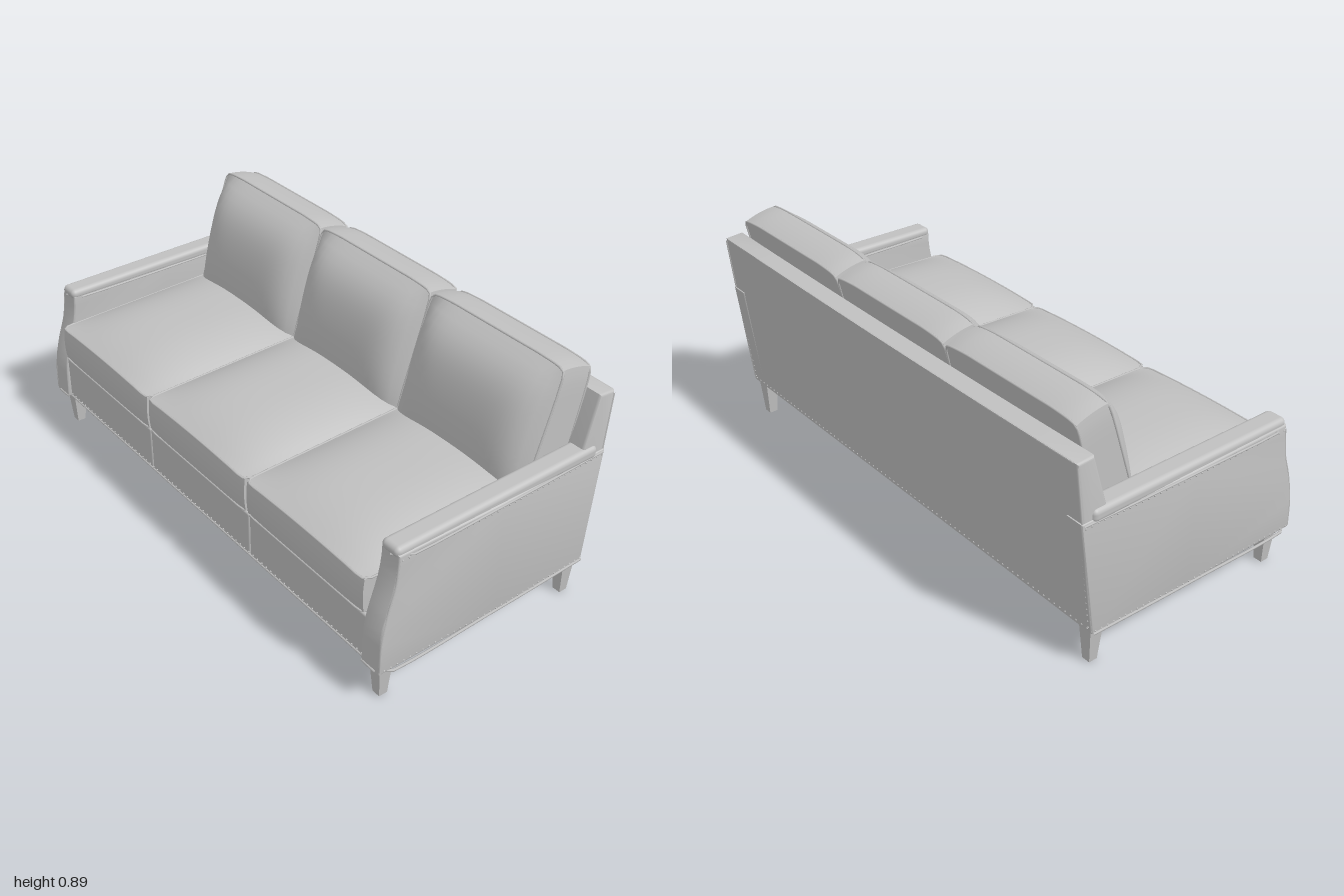
import * as THREE from 'three';
import { mergeGeometries, toCreasedNormals } from 'three/addons/utils/BufferGeometryUtils.js';
import { RoundedBoxGeometry } from 'three/addons/geometries/RoundedBoxGeometry.js';

const lerp = THREE.MathUtils.lerp;
const V = (x, y, z) => new THREE.Vector3(x, y, z);

// Outer side of the arms (drawn in towards the rear) and rear face of the frame
const outerX = (y, z) => 0.994 - 0.008 * (y - 0.14) / 0.41 - 0.012 * Math.max(0, -z / 0.45);
const rearZ = (y) => -0.4 - 0.081 * (y - 0.14) / 0.63;
const backX = (y) => outerX(y, -0.45) - 0.003;
const bow = (x, y) => 0.008 * x * x * Math.max(0, (y - 0.3) / 0.47);

export function createModel() {
  const model = new THREE.Group();
  model.name = 'sofa';
  const fabric = new THREE.MeshStandardMaterial({ color: 0xc0c0c0 });
  fabric.name = 'grey fabric';

  const add = (name, geometry, parent = model) => {
    const mesh = new THREE.Mesh(geometry, fabric);
    mesh.name = name;
    parent.add(mesh);
  };
  const welt = (name, points, closed, r = 0.004, parent = model) =>
    add(name, new THREE.TubeGeometry(
      new THREE.CatmullRomCurve3(points, closed, 'centripetal'), points.length * 3, r, 6, closed), parent);

  // Move every vertex by a rule
  const reshape = (g, rule) => {
    const p = g.attributes.position;
    for (let i = 0; i < p.count; i++) {
      const q = rule(p.getX(i), p.getY(i), p.getZ(i));
      p.setXYZ(i, q.x, q.y, q.z);
    }
    return g;
  };

  // Side outline (z, y) extruded across x, centred
  const slab = (shape, width, bevel, steps = 1) => {
    const g = new THREE.ExtrudeGeometry(shape, {
      depth: width - 2 * bevel, bevelThickness: bevel, bevelSize: bevel,
      bevelOffset: -bevel, bevelSegments: 3, curveSegments: 10, steps,
    });
    return g.translate(0, 0, bevel - width / 2).rotateY(-Math.PI / 2);
  };
  const outline = (points) => new THREE.Shape(points.map(([z, y]) => new THREE.Vector2(z, y)));

  // Soft block: a subdivided cube reshaped by a rule, with welts round two faces
  const cushion = (name, rule, axis) => {
    const group = new THREE.Group();
    group.name = name;
    model.add(group);
    const g = reshape(new THREE.BoxGeometry(2, 2, 2, 20, 16, 20), rule);
    g.computeVertexNormals();
    add('cushionBody', g, group);
    for (const side of [-1, 1]) {
      const points = [];
      for (let k = 0; k < 4; k++) {
        for (let i = 0; i < 8; i++) {
          const t = -0.97 + 1.94 * i / 7;
          const [a, b] = [[t, -1], [1, t], [-t, 1], [-1, -t]][k];
          points.push(axis === 'y' ? rule(a, side, b) : rule(a, b, side));
        }
      }
      welt('cushionWelt', points, true, 0.004, group);
    }
  };

  // Seat and back cushions, three of each
  for (const [cx, hw] of [[-0.602, 0.304], [0, 0.297], [0.602, 0.304]]) {
    cushion('seatCushion', (u, v, w) => {
      const crown = 0.052 * (1 - Math.abs(u) ** 3) * (1 - Math.abs(w) ** 3);
      const top = 0.461 - 0.011 * w + crown + 0.008 * (1 - u * u);
      return V(
        cx + hw * u * (1 - 0.02 * w ** 12),
        lerp(0.322, top, (v + 1) / 2),
        0.11 + 0.362 * w * (1 - 0.012 * u ** 8) + 0.005 * w * (1 - v * v),
      );
    }, 'y');
    cushion('backCushion', (u, v, w) => {
      const t = (v + 1) / 2, f = (w + 1) / 2;
      const bulge = 0.09 * (1 - t ** 8) * (1 - 0.6 * (1 - t) ** 3) * (1 - u ** 6);
      const y = 0.46 + t * (lerp(0.4, 0.428, f) - 0.012 * u ** 8 + 0.006 * (1 - w * w));
      const z = lerp(lerp(-0.325, -0.42, t), lerp(-0.165, -0.3, t), f);
      return V(cx + hw * u * (1 - 0.025 * t ** 12), y, z + bulge * f);
    }, 'z');
  }

  // Base: deck with a sloping underside, and three front rail panels
  add('seatDeck', toCreasedNormals(slab(outline(
    [[-0.34, 0.18], [-0.34, 0.32], [0.44, 0.32], [0.44, 0.143]]), 1.84, 0.003), 0.6));
  for (const x of [-0.607, 0, 0.607]) {
    add('frontRailPanel', new RoundedBoxGeometry(0.606, 0.172, 0.045, 3, 0.008).translate(x, 0.226, 0.442));
  }
  welt('frontWelt', [V(-0.91, 0.142, 0.464), V(0, 0.142, 0.464), V(0.91, 0.142, 0.464)], false, 0.005);

  // Raked back, narrowing towards the top and slightly bowed
  const back = slab(outline([
    [-0.315, 0.14], [-0.33, 0.5], [-0.415, 0.78], [rearZ(0.77), 0.775],
    [rearZ(0.45), 0.45], [rearZ(0.14), 0.14],
  ]), 2, 0.01, 8);
  reshape(back, (x, y, z) => V(x * backX(y), y, z + bow(x, y)));
  add('backFrame', toCreasedNormals(back, 0.6));
  welt('backTopWelt', [-0.95, -0.5, 0, 0.5, 0.95].map((x) => V(x, 0.772, -0.477 + bow(x, 0.77))), false);

  // Arms with a curved front, padded cap and welts
  const armShape = new THREE.Shape();
  armShape.moveTo(rearZ(0.14), 0.14);
  armShape.lineTo(0, 0.14);
  armShape.lineTo(0.478, 0.14);
  armShape.lineTo(0.475, 0.25);
  armShape.bezierCurveTo(0.472, 0.36, 0.412, 0.42, 0.412, 0.565);
  armShape.lineTo(0, 0.565);
  armShape.lineTo(rearZ(0.565), 0.565);
  armShape.closePath();

  for (const s of [-1, 1]) {
    const arm = slab(armShape, 0.076, 0.007).translate(s * 0.942, 0, 0);
    reshape(arm, (x, y, z) => V(Math.abs(x) > 0.942 ? x + s * (outerX(y, z) - 0.98) : x, y, z));
    add('arm', toCreasedNormals(arm, 0.6));

    // Cap top dips towards the front
    const cap = new RoundedBoxGeometry(0.078, 0.044, 0.83, 4, 0.018).translate(s * 0.942, 0.571, 0.002);
    reshape(cap, (x, y, z) => V(x, y > 0.571 ? y + (z < 0 ? 0.004 : -0.006) : y, z));
    add('armCap', cap);

    const xi = s * 0.907, xo = s * 0.981;
    const side = (y, z) => V(s * outerX(y, z), y, z);
    welt('capWelt', [side(0.555, -0.445), side(0.555, 0), side(0.555, 0.402),
      V(s * 0.977, 0.555, 0.413), V(s * 0.912, 0.555, 0.413), V(xi, 0.555, 0.403), V(xi, 0.555, -0.35)], false);
    welt('baseWelt', [V(xi, 0.142, 0.476), V(xo, 0.142, 0.476), side(0.142, 0.466),
      side(0.142, 0), side(0.142, -0.397)], false, 0.005);
    welt('armFrontWelt', [[0.15, 0.474], [0.25, 0.471], [0.36, 0.449], [0.45, 0.421], [0.55, 0.409]]
      .map(([y, z]) => V(s * (outerX(y, z) - 0.003), y, z)), false);
    welt('rearEdgeWelt', [0.145, 0.35, 0.555, 0.765]
      .map((y) => V(s * (backX(y) - 0.003), y, rearZ(y) + 0.002 + bow(1, y))), false);

    // Tapered square legs
    for (const z of [0.425, -0.365]) {
      const leg = new THREE.CylinderGeometry(0.027 * Math.SQRT2, 0.016 * Math.SQRT2, 0.15, 4);
      leg.rotateY(Math.PI / 4).translate(s * 0.938, 0.075, z);
      add('leg', toCreasedNormals(leg, 0.5));
    }
  }

  // Nailhead trim along the base, under the caps and down the rear corners
  const nails = [];
  const nailRow = (a, b) => {
    const n = Math.round(a.distanceTo(b) / 0.025);
    for (let i = 0; i <= n; i++) {
      const q = a.clone().lerp(b, i / n);
      nails.push(new THREE.SphereGeometry(0.0036, 6, 4).translate(q.x, q.y, q.z));
    }
  };
  for (const s of [-1, 1]) {
    for (const [y, front, rear] of [[0.151, 0.46, -0.39], [0.547, 0.4, -0.44]]) {
      const middle = V(s * outerX(y, 0), y, 0);
      nailRow(V(s * outerX(y, front), y, front), middle);
      nailRow(middle, V(s * outerX(y, rear), y, rear));
    }
    nailRow(V(s * 0.965, 0.16, rearZ(0.16)), V(s * 0.96, 0.55, rearZ(0.55) + bow(1, 0.55)));
  }
  nailRow(V(-0.97, 0.152, 0.466), V(0.97, 0.152, 0.466));
  nailRow(V(-0.96, 0.152, rearZ(0.152)), V(0.96, 0.152, rearZ(0.152)));
  add('nailheadTrim', mergeGeometries(nails));

  return model;
}
